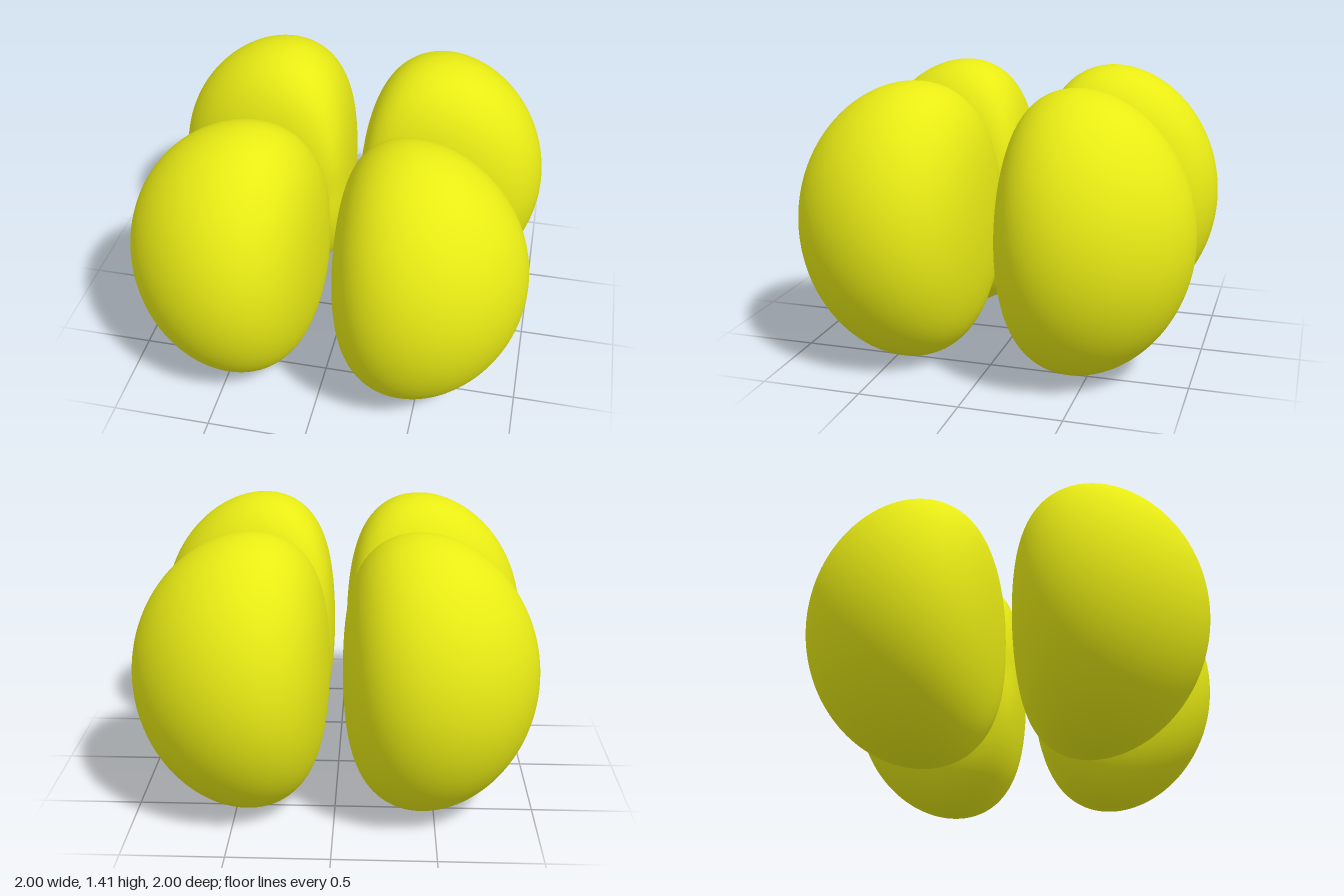
import * as THREE from 'three';

const DECAY = 6.4;      // radial fall-off of the field
const LEVEL = -7.722;   // log value of the field on the surface
const HALF_HEIGHT = 0.707;

// Log of a four-lobed field x * z * r * exp(-k r), in the quadrant x > 0, z > 0
function field(p) {
  if (p.x <= 0 || p.z <= 0) return -Infinity;
  const r = p.length();
  return Math.log(p.x * p.z * r) - DECAY * r;
}

// Outward surface normal: the negative gradient of the field
function fieldNormal(p) {
  const r = p.length();
  const radial = (DECAY - 1 / r) / r;
  return new THREE.Vector3(radial * p.x - 1 / p.x, radial * p.y, radial * p.z - 1 / p.z).normalize();
}

// One lobe: a sphere whose vertices are pushed along their rays to the surface
function lobeGeometry() {
  const geometry = new THREE.SphereGeometry(1, 128, 80);
  const position = geometry.attributes.position;
  const normal = geometry.attributes.normal;
  const centre = new THREE.Vector3(0.42, 0, 0.42);
  const dir = new THREE.Vector3();
  const point = new THREE.Vector3();
  for (let i = 0; i < position.count; i++) {
    dir.fromBufferAttribute(position, i);
    let inside = 0;
    let outside = 1.5;
    for (let step = 0; step < 40; step++) {
      const mid = (inside + outside) / 2;
      point.copy(centre).addScaledVector(dir, mid);
      if (field(point) > LEVEL) inside = mid;
      else outside = mid;
    }
    point.copy(centre).addScaledVector(dir, inside);
    const n = fieldNormal(point);
    position.setXYZ(i, point.x, point.y, point.z);
    normal.setXYZ(i, n.x, n.y, n.z);
  }
  return geometry;
}

export function createModel() {
  const group = new THREE.Group();
  group.name = 'fourLobedCloud';
  const material = new THREE.MeshStandardMaterial({ color: 0xe8eb14 });
  const geometry = lobeGeometry();

  // Four equal lobes, a quarter turn apart around the upright axis
  ['frontLeftLobe', 'backLeftLobe', 'backRightLobe', 'frontRightLobe'].forEach((name, i) => {
    const lobe = new THREE.Mesh(geometry, material);
    lobe.name = name;
    lobe.rotation.y = (i * Math.PI) / 2;
    lobe.position.y = HALF_HEIGHT;
    group.add(lobe);
  });
  return group;
}
